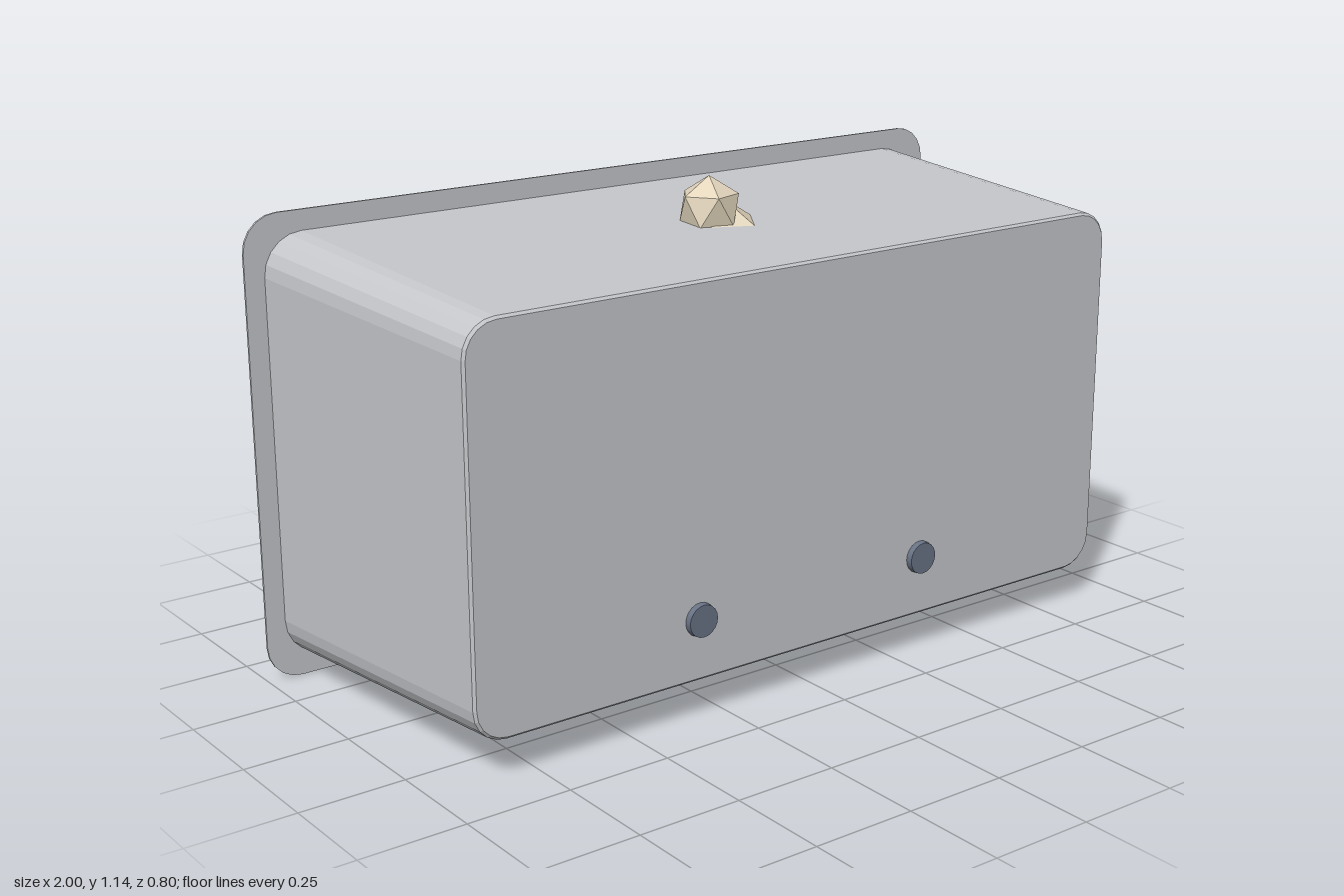
import * as THREE from 'three';

const mat = (name, color, side = THREE.FrontSide) => {
  const m = new THREE.MeshStandardMaterial({ color, side });
  m.name = name;
  return m;
};

// Gives every face its own normal
function flat(geo) {
  const g = geo.index ? geo.toNonIndexed() : geo;
  g.computeVertexNormals();
  return g;
}

// Outline of a rounded rectangle, counter-clockwise, centred on (0, 0.55)
function roundedOutline(halfW, halfH, r, steps = 5) {
  const pts = [];
  [[1, 1], [-1, 1], [-1, -1], [1, -1]].forEach(([sx, sy], q) => {
    for (let i = 0; i <= steps; i++) {
      const a = (q + i / steps) * Math.PI / 2;
      pts.push(new THREE.Vector2(sx * (halfW - r) + r * Math.cos(a), 0.55 + sy * (halfH - r) + r * Math.sin(a)));
    }
  });
  return pts;
}

// Skin joining cross-sections of equal point count; caps are fans
function loft(rings, capStart, capEnd) {
  const n = rings[0].length, pos = [], idx = [];
  rings.forEach(ring => ring.forEach(p => pos.push(p.x, p.y, p.z)));
  for (let k = 0; k < rings.length - 1; k++) {
    for (let i = 0; i < n; i++) {
      const a = k * n + i, b = k * n + (i + 1) % n;
      idx.push(a, b, b + n, a, b + n, a + n);
    }
  }
  const last = (rings.length - 1) * n;
  for (let i = 1; i < n - 1; i++) {
    if (capStart) idx.push(0, i + 1, i);
    if (capEnd) idx.push(last, last + i, last + i + 1);
  }
  const g = new THREE.BufferGeometry();
  g.setAttribute('position', new THREE.Float32BufferAttribute(pos, 3));
  g.setIndex(idx);
  return flat(g);
}

export function createModel() {
  const shellGrey = mat('shellGrey', 0xc4c6ca, THREE.DoubleSide);
  const silver = mat('bodySilver', 0xcccfd3);
  const maroon = mat('maroon', 0x8c4353);
  const black = mat('tyreBlack', 0x333337);
  const rimGrey = mat('rimGrey', 0xb4b8bb);
  const hubBlue = mat('hubBlueGrey', 0x687385);
  const cream = mat('cream', 0xe3d6bd);

  const model = new THREE.Group();
  const add = (parent, name, geo, material, x = 0, y = 0, z = 0) => {
    const m = new THREE.Mesh(geo, material);
    m.name = name;
    m.position.set(x, y, z);
    parent.add(m);
    return m;
  };

  // Tapered tray, open at the back
  const tray = new THREE.Group();
  tray.name = 'tray';
  model.add(tray);
  const rings = [[0.952, 0.502, 0.095, -0.382], [0.907, 0.456, 0.08, 0.379], [0.901, 0.45, 0.075, 0.385]]
    .map(([w, h, r, z]) => roundedOutline(w, h, r).map(p => new THREE.Vector3(p.x, p.y, z)));
  add(tray, 'trayShell', loft(rings, false, true), shellGrey);

  // Flat rim around the opening
  const flange = new THREE.Shape(roundedOutline(1, 0.55, 0.085));
  flange.holes.push(new THREE.Path(roundedOutline(0.952, 0.502, 0.095).reverse()));
  add(tray, 'flange', new THREE.ExtrudeGeometry(flange, { depth: 0.006, bevelEnabled: false }), shellGrey, 0, 0, -0.385);

  // Toy car
  const car = new THREE.Group();
  car.name = 'car';
  model.add(car);
  const b = 0.015;
  const profile = new THREE.Shape([
    [-0.5, 0.26], [-0.29, 0.28], [0.3, 0.28], [0.46, 0.28], [0.46, 0.375],
    [0.38, 0.385], [0.26, 0.465], [-0.32, 0.465], [-0.5, 0.345],
  ].map(([x, y]) => new THREE.Vector2(x, y)));
  add(car, 'bodyShell', new THREE.ExtrudeGeometry(profile, {
    depth: 0.47, bevelThickness: b, bevelSize: b, bevelSegments: 1,
  }), silver, 0, 0, -0.235);
  add(car, 'lowerBody', new THREE.BoxGeometry(0.9, 0.05, 0.48), maroon, -0.02, 0.248, 0);
  add(car, 'chassis', new THREE.BoxGeometry(0.94, 0.04, 0.32), black, -0.02, 0.212, 0);
  add(car, 'cabinSill', new THREE.BoxGeometry(0.43, 0.008, 0.48), maroon, 0.01, 0.481, 0);

  // Sloped cabin with bevelled upright edges
  const cabinRing = (x0, x1, hz, y, c = 0.012) => [
    [x0 + c, hz], [x1 - c, hz], [x1, hz - c], [x1, c - hz],
    [x1 - c, -hz], [x0 + c, -hz], [x0, c - hz], [x0, hz - c],
  ].map(([x, z]) => new THREE.Vector3(x, y, z));
  add(car, 'cabin', loft([
    cabinRing(-0.2, 0.22, 0.235, 0.483),
    cabinRing(-0.115, 0.16, 0.17, 0.655),
    cabinRing(-0.105, 0.15, 0.16, 0.665),
  ], true, true), silver);

  // Bumper bars and axles
  const bar = new THREE.CylinderGeometry(0.032, 0.032, 0.52, 12).rotateX(Math.PI / 2);
  add(car, 'frontBumper', bar, black, -0.535, 0.235, 0);
  add(car, 'rearBumper', bar, black, 0.505, 0.235, 0);
  const axle = new THREE.CylinderGeometry(0.025, 0.025, 0.6, 10).rotateX(Math.PI / 2);

  // Wheels
  const tyreProfile = [
    [0.01, -0.05], [0.13, -0.05], [0.155, -0.032], [0.155, 0.032], [0.132, 0.05], [0.08, 0.053], [0.078, 0.03],
  ].map(([r, y]) => new THREE.Vector2(r, y));
  const tyre = flat(new THREE.LatheGeometry(tyreProfile, 18).rotateX(Math.PI / 2));
  const rim = new THREE.CylinderGeometry(0.08, 0.08, 0.05, 24).rotateX(Math.PI / 2);
  const hub = new THREE.CylinderGeometry(0.038, 0.042, 0.04, 20).rotateX(Math.PI / 2);
  for (const x of [-0.325, 0.325]) {
    add(car, 'axle', axle, black, x, 0.24, 0);
    for (const side of [-1, 1]) {
      const wheel = new THREE.Group();
      wheel.name = 'wheel';
      wheel.position.set(x, 0.24, side * 0.325);
      wheel.rotation.y = side < 0 ? Math.PI : 0;
      add(wheel, 'tyre', tyre, black);
      add(wheel, 'wheelRim', rim, rimGrey, 0, 0, 0.0335);
      add(wheel, 'hubCap', hub, hubBlue, 0, 0, 0.055);
      car.add(wheel);
    }
  }

  // Faceted figure riding on the roof
  const rider = new THREE.Group();
  rider.name = 'rider';
  model.add(rider);
  const tilt = Math.atan2(0.526, 0.851);
  const ball = (name, r, x, y, turn) =>
    add(rider, name, new THREE.IcosahedronGeometry(r, 0).rotateZ(turn * tilt), cream, x, y, 0);
  add(rider, 'collar', flat(new THREE.CylinderGeometry(0.115, 0.165, 0.05, 10)), cream, 0, 0.672, 0);
  ball('torso', 0.152, 0, 0.85, 1);
  ball('head', 0.105, 0.03, 0.975, -1);
  ball('topKnot', 0.077, -0.008, 1.059, 1);
  return model;
}
